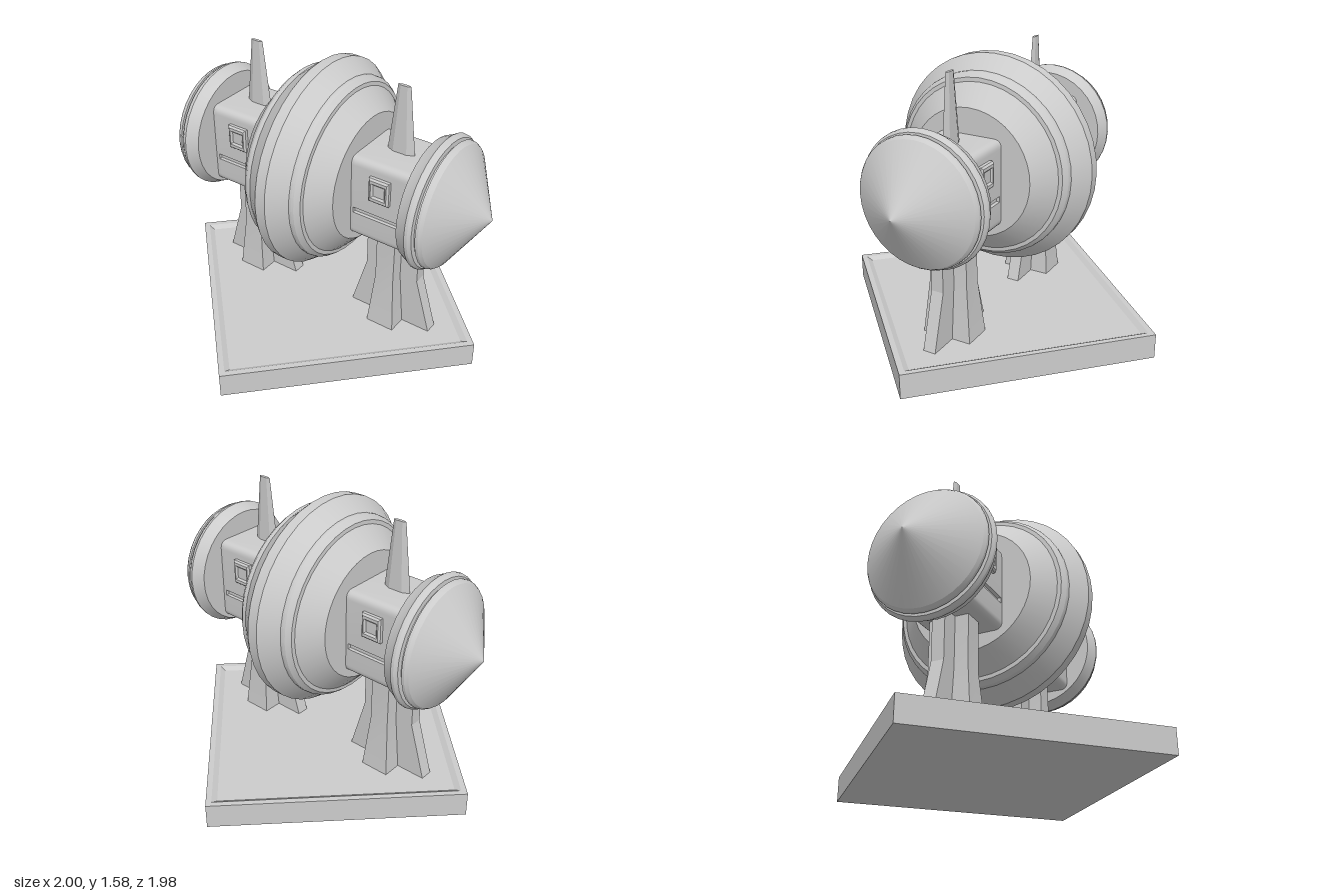
import * as THREE from 'three';
import { toCreasedNormals } from 'three/addons/utils/BufferGeometryUtils.js';

const AXIS_Y = 0.987;
const ARM_X = 0.4625;
const grey = new THREE.MeshStandardMaterial({ color: 0xcccccc });

function part(name, geometry, parent, x = 0, y = 0, z = 0) {
  const mesh = new THREE.Mesh(geometry, grey);
  mesh.name = name;
  mesh.position.set(x, y, z);
  parent.add(mesh);
  return mesh;
}

// Turned body around the x axis; profile is a list of [radius, x]
function turned(profile, segments = 36) {
  const points = profile.map(([r, x]) => new THREE.Vector2(r, x));
  const g = new THREE.LatheGeometry(points, segments).rotateZ(-Math.PI / 2);
  return toCreasedNormals(g, 0.25);
}

// Block whose half width and half depth change with height; levels are [y, halfX, halfZ]
function flaredBlock(levels) {
  const n = levels.length - 1;
  const g = new THREE.BoxGeometry(2, n, 2, 1, n, 1);
  const p = g.attributes.position;
  for (let i = 0; i < p.count; i++) {
    const [y, hx, hz] = levels[Math.round(p.getY(i) + n / 2)];
    p.setXYZ(i, p.getX(i) * hx, y, p.getZ(i) * hz);
  }
  return toCreasedNormals(g, 0.1);
}

// Round-cornered shaft section along x, with an optional side slot
function shaftSection(x0, x1, slotDepth) {
  const w = 0.19, bottom = 0.72, top = 1.2, r = 0.045;
  const s = new THREE.Shape();
  s.moveTo(-w + r, bottom);
  s.lineTo(w - r, bottom);
  s.quadraticCurveTo(w, bottom, w, bottom + r);
  if (slotDepth) {
    for (const [z, y] of [[w, 0.865], [w - slotDepth, 0.865], [w - slotDepth, 0.897], [w, 0.897]]) s.lineTo(z, y);
  }
  s.lineTo(w, top - r);
  s.quadraticCurveTo(w, top, w - r, top);
  s.lineTo(-w + r, top);
  s.quadraticCurveTo(-w, top, -w, top - r);
  if (slotDepth) {
    for (const [z, y] of [[-w, 0.897], [-w + slotDepth, 0.897], [-w + slotDepth, 0.865], [-w, 0.865]]) s.lineTo(z, y);
  }
  s.lineTo(-w, bottom + r);
  s.quadraticCurveTo(-w, bottom, -w + r, bottom);
  const g = new THREE.ExtrudeGeometry(s, { depth: x1 - x0, bevelEnabled: false, curveSegments: 6 });
  g.rotateY(Math.PI / 2).translate(x0, 0, 0);
  return toCreasedNormals(g, 0.5);
}

function rectangle(target, hx, hy) {
  target.moveTo(-hx, -hy);
  target.lineTo(hx, -hy);
  target.lineTo(hx, hy);
  target.lineTo(-hx, hy);
  target.closePath();
  return target;
}

// Square-holed frame with a bevelled outer edge, facing +z
function frameGeometry() {
  const s = rectangle(new THREE.Shape(), 0.05, 0.06);
  s.holes.push(rectangle(new THREE.Path(), 0.043, 0.043));
  return new THREE.ExtrudeGeometry(s, {
    depth: 0.03, bevelThickness: 0.01, bevelSize: 0.01, bevelSegments: 1,
  });
}

function createArm(side) {
  const arm = new THREE.Group();
  arm.name = side > 0 ? 'leftArm' : 'rightArm';
  const cx = side * ARM_X;

  // Shaft: slotted middle between two plain collars
  for (const [name, x0, x1, slot] of [
    ['shaftInnerCollar', 0.24, 0.3, 0],
    ['shaftMiddle', 0.3, 0.625, 0.02],
    ['shaftOuterCollar', 0.625, 0.66, 0],
  ]) {
    const [a, b] = side > 0 ? [x0, x1] : [-x1, -x0];
    part(name, shaftSection(a, b, slot), arm);
  }

  // Conical end cap with a stepped rim
  const cap = part('endCap', turned([
    [0, 0.645], [0.335, 0.645], [0.355, 0.69], [0.368, 0.71], [0.366, 0.725], [0.353, 0.742],
    [0.328, 0.744], [0.328, 0.757], [0.347, 0.759], [0.345, 0.773], [0.333, 0.79], [0, 1],
  ]), arm, 0, AXIS_Y, 0);
  if (side < 0) cap.rotation.y = Math.PI;

  // Six-sided tapering fin on top of the shaft
  const fin = new THREE.CylinderGeometry(0.037, 0.083, 0.395, 6, 1, false, Math.PI / 2);
  part('topFin', toCreasedNormals(fin.scale(1, 1, 0.28), 0.2), arm, cx, 1.3785, 0);

  // Cross-shaped support leg, flaring to the base
  part('legWidePlate', flaredBlock([[0.12, 0.255, 0.036], [0.44, 0.162, 0.036], [0.74, 0.162, 0.036]]), arm, cx);
  part('legDeepPlate', flaredBlock([[0.12, 0.084, 0.145], [0.44, 0.056, 0.114], [0.74, 0.056, 0.112]]), arm, cx);

  // Framed panels on the front and back of the shaft
  for (const face of [1, -1]) {
    const panel = new THREE.Group();
    panel.name = face > 0 ? 'frontPanel' : 'backPanel';
    panel.position.set(cx, 1.06, face * 0.178);
    if (face < 0) panel.rotation.y = Math.PI;
    part('panelFrame', frameGeometry(), panel);
    part('panelInset', new THREE.BoxGeometry(0.066, 0.066, 0.03), panel, 0, 0, 0.015);
    arm.add(panel);
  }
  return arm;
}

export function createModel() {
  const model = new THREE.Group();
  model.name = 'mountedDrum';

  // Square base turned on its corner, with a rim around a sunken floor
  const base = new THREE.LatheGeometry(
    [[0, 0], [0.988, 0], [0.988, 0.143], [0.945, 0.143], [0.905, 0.125], [0, 0.125]]
      .map(([r, y]) => new THREE.Vector2(r, y)), 4);
  part('base', toCreasedNormals(base, 0.1), model);

  // Large central drum, stepped evenly on both sides
  const half = [[0.59, 0.03], [0.578, 0.045], [0.515, 0.125], [0.515, 0.14], [0.512, 0.152], [0.49, 0.178], [0.468, 0.18], [0.357, 0.285], [0, 0.285]];
  const mirrored = half.map(([r, x]) => [r, -x]).reverse();
  part('drum', turned([...mirrored, ...half], 40), model, 0, AXIS_Y, 0);

  for (const side of [1, -1]) model.add(createArm(side));
  return model;
}
